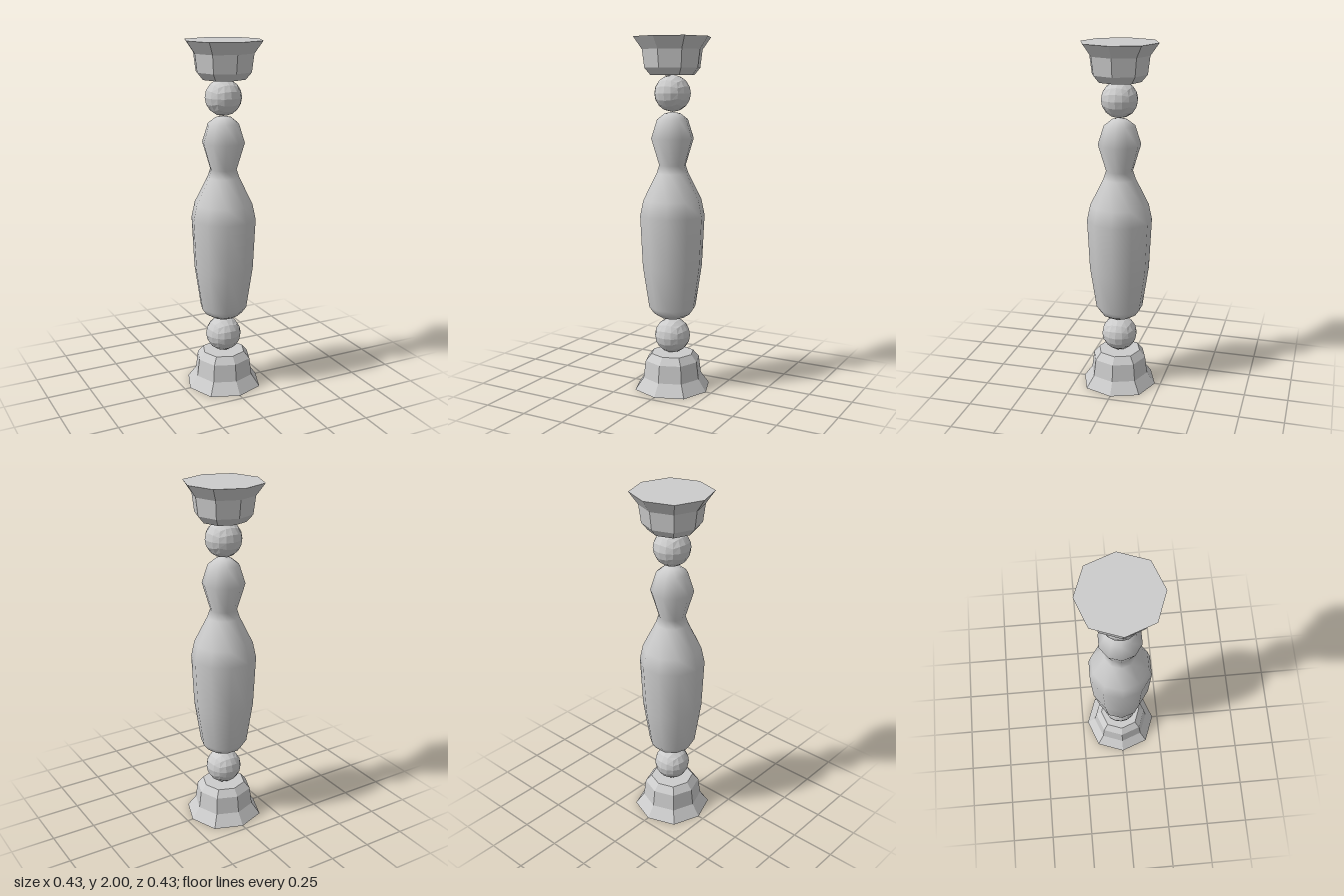
import * as THREE from 'three';
import { toCreasedNormals } from 'three/addons/utils/BufferGeometryUtils.js';

const stone = new THREE.MeshStandardMaterial({ color: 0xcccccc });
stone.name = 'pale grey stone';

const lathe = (profile, sides) =>
  new THREE.LatheGeometry(profile.map(([r, y]) => new THREE.Vector2(r, y)), sides, Math.PI / 2);

const faceted = (geometry) => toCreasedNormals(geometry, 0.01);

// Stepped octagonal block, its diagonal corners pushed out slightly
function blockGeometry(profile) {
  const geometry = lathe(profile, 8);
  const p = geometry.attributes.position;
  for (let i = 0; i < p.count; i++) {
    const x = p.getX(i), z = p.getZ(i);
    const k = Math.abs(x * z) > 1e-6 ? 1.03 : 1;
    p.setXYZ(i, x * k, p.getY(i), z * k);
  }
  return faceted(geometry);
}

// Ball made from a subdivided cube with evenly spaced facets
function ballGeometry(radius) {
  const geometry = new THREE.BoxGeometry(2, 2, 2, 4, 4, 4);
  const p = geometry.attributes.position;
  const v = new THREE.Vector3();
  const even = (t) => Math.tan(t * Math.PI / 4);
  for (let i = 0; i < p.count; i++) {
    v.fromBufferAttribute(p, i);
    v.set(even(v.x), even(v.y), even(v.z)).setLength(radius);
    p.setXYZ(i, v.x, v.y, v.z);
  }
  return faceted(geometry);
}

export function createModel() {
  const group = new THREE.Group();
  group.name = 'baluster';
  const add = (name, geometry, y = 0) => {
    const mesh = new THREE.Mesh(geometry, stone);
    mesh.name = name;
    mesh.position.y = y;
    group.add(mesh);
  };

  // Base, and the capital as its mirror image
  const block = [[0, 0], [0.217, 0], [0.169, 0.068], [0.156, 0.168], [0.122, 0.208], [0, 0.208]];
  add('base', blockGeometry(block));
  add('capital', blockGeometry(block.map(([r, y]) => [r, 2 - y]).reverse()));

  // Balls between the blocks and the shaft
  add('lowerBall', ballGeometry(0.102), 0.31);
  add('upperBall', ballGeometry(0.102), 1.693);

  // Smooth ten-sided turned shaft
  add('shaft', lathe([
    [0, 0.418], [0.07, 0.42], [0.108, 0.443], [0.134, 0.48], [0.17, 0.72], [0.184, 1.01],
    [0.165, 1.1], [0.09, 1.25], [0.075, 1.295], [0.12, 1.445], [0.087, 1.55], [0.045, 1.583], [0, 1.592],
  ], 10));

  return group;
}
